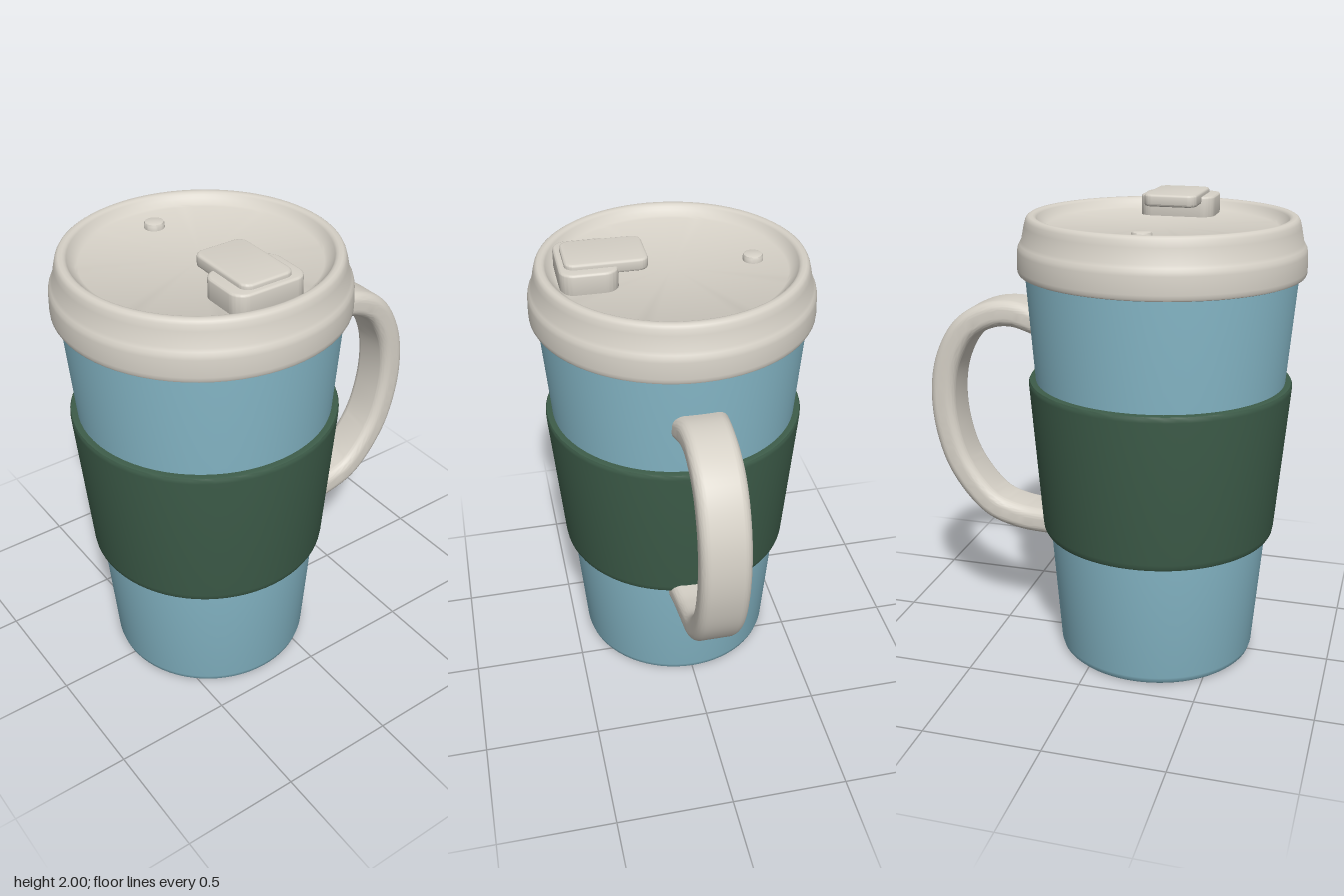
import * as THREE from 'three';
import { toCreasedNormals } from 'three/addons/utils/BufferGeometryUtils.js';

const AXIS_X = -0.22; // the cup's own axis; the handle fills the +x side

function material(name, color) {
  const m = new THREE.MeshStandardMaterial({ color });
  m.name = name;
  return m;
}

function mesh(name, geometry, mat) {
  const m = new THREE.Mesh(geometry, mat);
  m.name = name;
  return m;
}

// Turned part from [radius, height] pairs, listed from the bottom up.
function turned(profile, segments = 72) {
  const points = profile.map(([r, y]) => new THREE.Vector2(r, y));
  return toCreasedNormals(new THREE.LatheGeometry(points, segments), 0.6);
}

function roundedRect(w, h, r) {
  const s = new THREE.Shape();
  const x = w / 2 - r, y = h / 2 - r;
  s.absarc(x, y, r, 0, Math.PI / 2);
  s.absarc(-x, y, r, Math.PI / 2, Math.PI);
  s.absarc(-x, -y, r, Math.PI, Math.PI * 1.5);
  s.absarc(x, -y, r, Math.PI * 1.5, Math.PI * 2);
  return s;
}

// Horizontal plate with softened edges, standing on y = 0.
function plate(w, d, h, r) {
  const b = 0.01;
  const g = new THREE.ExtrudeGeometry(roundedRect(w - 2 * b, d - 2 * b, r - b), {
    depth: h - 2 * b, bevelSize: b, bevelThickness: b, bevelSegments: 3, curveSegments: 8,
  });
  g.translate(0, 0, b).rotateX(-Math.PI / 2);
  return toCreasedNormals(g, 0.6);
}

// Rounded-rectangle section swept along a curve in the xy plane, wider at both ends.
function handleGeometry(curve, thickness, width, steps = 72) {
  const section = roundedRect(thickness, width, 0.042).getPoints(6);
  const ring = section.filter((p, i) => p.distanceTo(section[(i + 1) % section.length]) > 1e-5);
  const n = ring.length, positions = [], index = [];
  for (let i = 0; i <= steps; i++) {
    const t = i / steps;
    const p = curve.getPointAt(t), d = curve.getTangentAt(t);
    const flare = 1 + 0.14 * Math.max(0, 1 - Math.min(t, 1 - t) / 0.13) ** 2;
    for (const q of ring) positions.push(p.x - d.y * q.x, p.y + d.x * q.x, q.y * flare);
  }
  for (let i = 0; i < steps; i++) {
    for (let j = 0; j < n; j++) {
      const k = (j + 1) % n;
      const a = i * n + j, b = i * n + k, c = a + n, e = b + n;
      index.push(a, b, c, b, e, c);
    }
  }
  // end caps
  const last = steps * n;
  for (let j = 1; j < n - 1; j++) {
    index.push(0, j + 1, j, last, last + j, last + j + 1);
  }
  const g = new THREE.BufferGeometry();
  g.setAttribute('position', new THREE.Float32BufferAttribute(positions, 3));
  g.setIndex(index);
  return toCreasedNormals(g, 0.6);
}

export function createModel() {
  const blue = material('cup blue', 0x86b8c8);
  const green = material('sleeve green', 0x3d5c49);
  const cream = material('lid cream', 0xd6d1c7);

  const model = new THREE.Group();
  model.name = 'travelMug';
  const cup = new THREE.Group();
  cup.name = 'cup';
  cup.position.x = AXIS_X;
  model.add(cup);

  // Tapered body with a shallow recess underneath
  cup.add(mesh('body', turned([
    [0, 0.015], [0.35, 0.015], [0.365, 0], [0.4, 0], [0.415, 0.004], [0.426, 0.014],
    [0.432, 0.035], [0.475, 0.57], [0.53, 1.25], [0.567, 1.72], [0.567, 1.85], [0, 1.85],
  ]), blue));

  // Grip sleeve
  cup.add(mesh('sleeve', turned([
    [0.47, 0.57], [0.493, 0.57], [0.5, 0.573], [0.505, 0.582], [0.508, 0.6],
    [0.559, 1.225], [0.559, 1.24], [0.555, 1.248], [0.548, 1.25], [0.525, 1.25],
  ]), green));

  // Lid with stepped rim and sunken top
  cup.add(mesh('lid', turned([
    [0.555, 1.705], [0.585, 1.705], [0.592, 1.708], [0.596, 1.716], [0.597, 1.73],
    [0.595, 1.8], [0.592, 1.815], [0.585, 1.828], [0.578, 1.84], [0.566, 1.9],
    [0.56, 1.923], [0.554, 1.934], [0.545, 1.94], [0.53, 1.94], [0.521, 1.937],
    [0.514, 1.93], [0.508, 1.918], [0.485, 1.9], [0.475, 1.895], [0, 1.895],
  ]), cream));

  // Vent knob at the back of the lid
  const vent = mesh('ventKnob', turned([
    [0.042, 0], [0.042, 0.022], [0.038, 0.03], [0.03, 0.033], [0, 0.033],
  ], 32), cream);
  vent.position.set(0, 1.89, -0.34);
  cup.add(vent);

  // Drinking spout and its sliding tab
  const spout = mesh('spoutBase', plate(0.32, 0.235, 0.1, 0.06), cream);
  spout.position.set(0, 1.88, 0.355);
  const tab = mesh('slidingTab', plate(0.225, 0.335, 0.05, 0.04), cream);
  tab.position.set(0, 1.95, 0.28);
  cup.add(spout, tab);

  // Side handle
  const path = new THREE.CatmullRomCurve3([
    [0.3, 1.468], [0.42, 1.497], [0.53, 1.483], [0.645, 1.415], [0.725, 1.28],
    [0.755, 1.127], [0.742, 0.95], [0.68, 0.77], [0.54, 0.605], [0.4, 0.557], [0.24, 0.55],
  ].map(([x, y]) => new THREE.Vector3(x, y, 0)));
  model.add(mesh('handle', handleGeometry(path, 0.115, 0.205), cream));

  return model;
}
